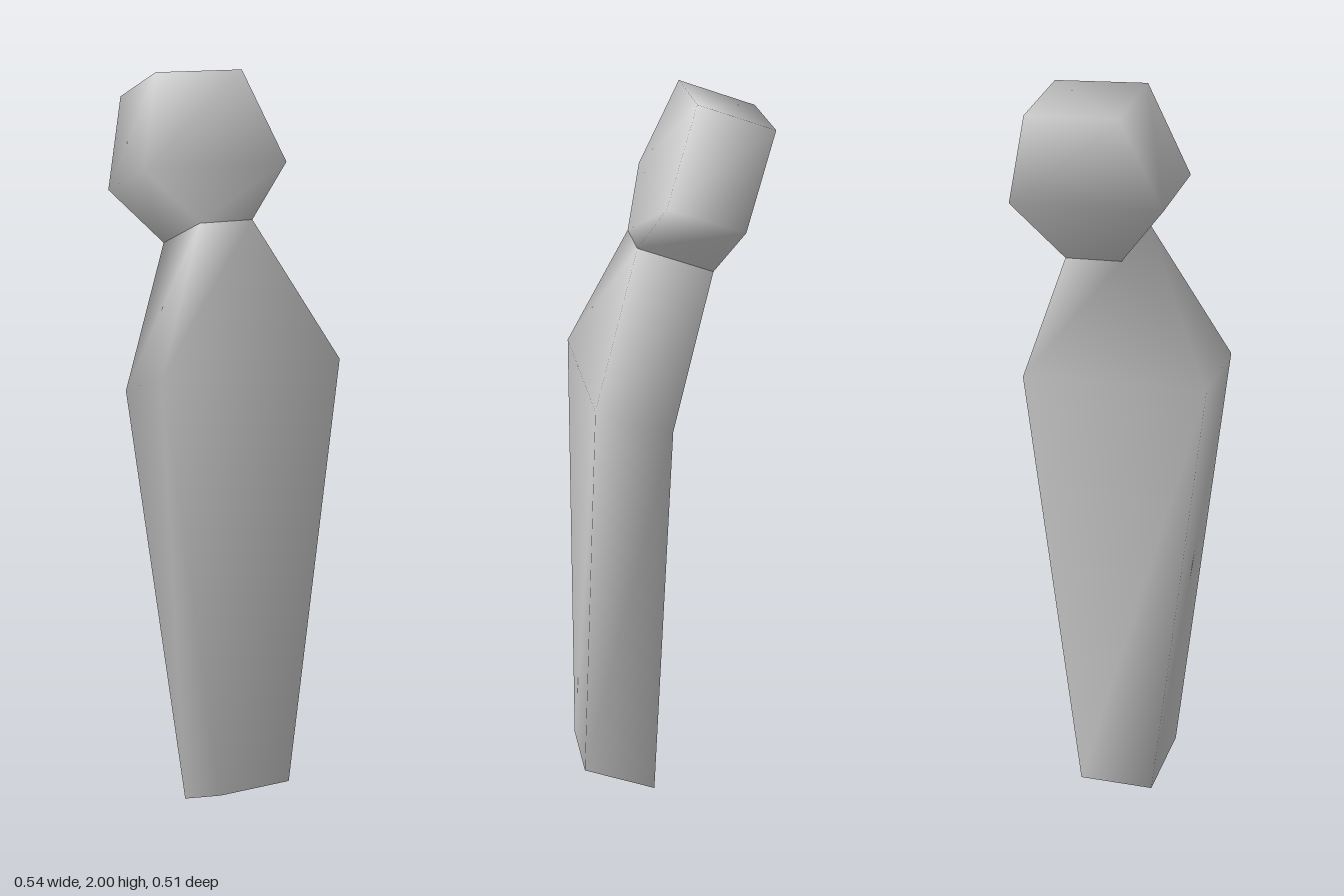
import * as THREE from 'three';

// Each section: half width w, front edge [y, z] and back edge [y, z]
function loft(name, sections, { bottom = false, top = false }) {
  const positions = [];
  const index = [];
  for (const { w, front, back } of sections) {
    positions.push(w, ...front, -w, ...front, -w, ...back, w, ...back);
  }
  // Walls between neighbouring sections
  for (let s = 0; s < sections.length - 1; s++) {
    for (let i = 0; i < 4; i++) {
      const a = s * 4 + i;
      const b = s * 4 + ((i + 1) % 4);
      index.push(b, a, a + 4, b, a + 4, b + 4);
    }
  }
  // End caps
  if (bottom) index.push(0, 1, 2, 0, 2, 3);
  const t = (sections.length - 1) * 4;
  if (top) index.push(t, t + 2, t + 1, t, t + 3, t + 2);

  const geometry = new THREE.BufferGeometry();
  geometry.setAttribute('position', new THREE.Float32BufferAttribute(positions, 3));
  geometry.setIndex(index);
  geometry.computeVertexNormals();
  const material = new THREE.MeshStandardMaterial({ color: 0xcccccc });
  const mesh = new THREE.Mesh(geometry, material);
  mesh.name = name;
  return mesh;
}

export function createModel() {
  const model = new THREE.Group();
  model.name = 'bentFigure';

  // Narrow waist shared by both parts
  const neck = { w: 0.08, front: [1.615, 0.093], back: [1.54, -0.108] };

  // Tapered body, bent back at the shoulders
  model.add(loft('body', [
    { w: 0.108, front: [0.08, 0.257], back: [0, 0.057] },
    { w: 0.27, front: [1.245, 0.235], back: [1.175, 0.032] },
    neck,
  ], { bottom: true }));

  // Six-sided head, leaning back
  model.add(loft('head', [
    neck,
    { w: 0.217, front: [1.757, 0.04], back: [1.685, -0.165] },
    { w: 0.131, front: [2, -0.053], back: [1.925, -0.257] },
  ], { top: true }));

  return model;
}
